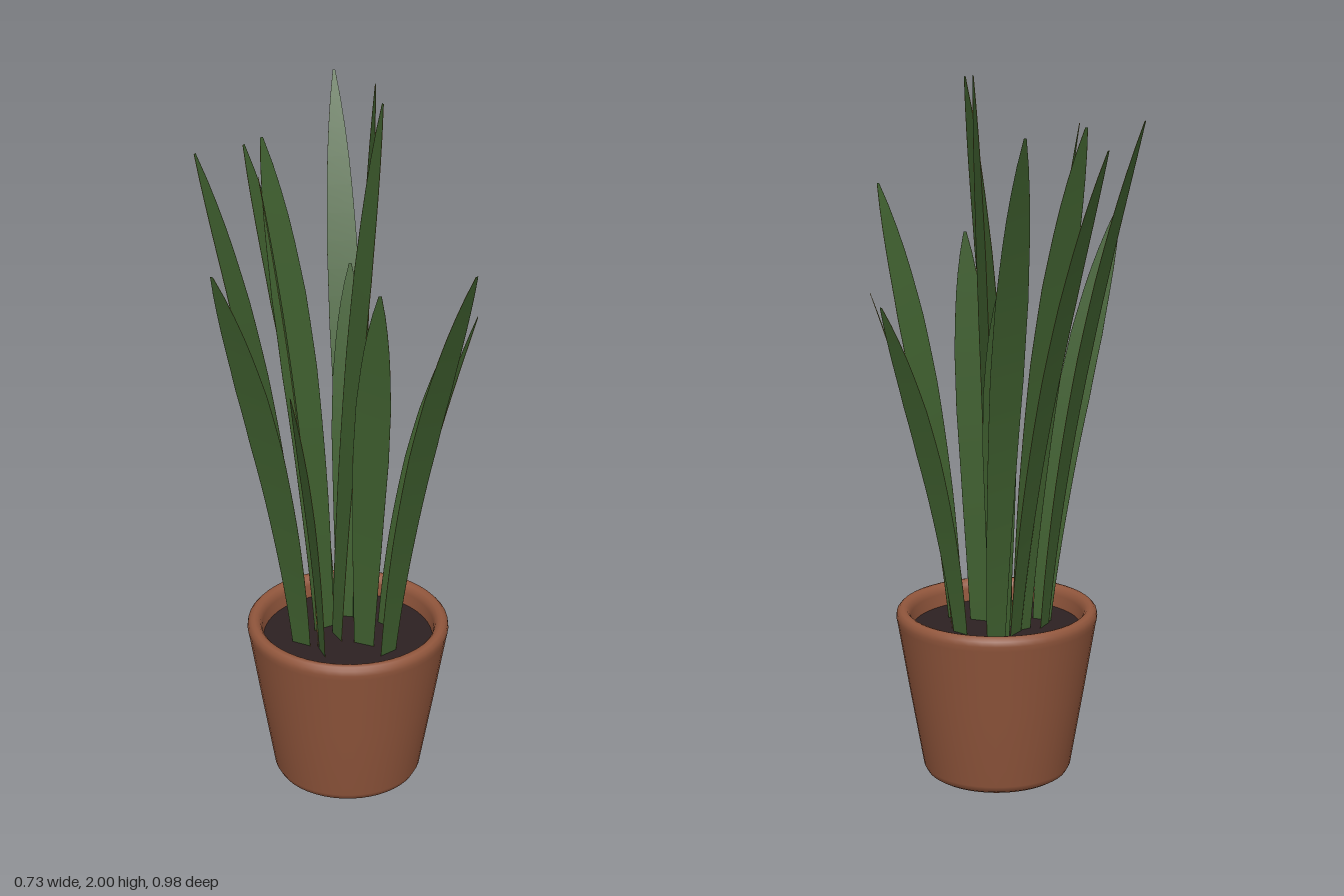
import * as THREE from 'three';

const mat = (name, color, side = THREE.FrontSide) => {
  const m = new THREE.MeshStandardMaterial({ color, side });
  m.name = name;
  return m;
};

// Ribbon surface between two rows of points
function ribbon(a, b) {
  const pos = [], idx = [];
  a.forEach((p, i) => {
    pos.push(...p.toArray(), ...b[i].toArray());
    if (i) {
      const k = i * 2;
      idx.push(k - 2, k - 1, k, k - 1, k + 1, k);
    }
  });
  const g = new THREE.BufferGeometry();
  g.setAttribute('position', new THREE.Float32BufferAttribute(pos, 3));
  g.setIndex(idx);
  g.computeVertexNormals();
  return g;
}

const SOIL_Y = 0.43;
// Half width of a blade from root to tip
const PROFILE = [[0, 0.029], [0.3, 0.043], [0.55, 0.052], [0.7, 0.05], [0.83, 0.039], [0.93, 0.023], [1, 0.004]];

function halfWidth(t) {
  const i = Math.max(1, PROFILE.findIndex(p => p[0] >= t));
  const [t0, w0] = PROFILE[i - 1], [t1, w1] = PROFILE[i];
  return w0 + (w1 - w0) * (t - t0) / (t1 - t0);
}

// One sword-shaped leaf: root (x, z), tip (x, y, z), direction of its width (x, z), size of its width
function makeLeaf([bx, bz], [tx, ty, tz], [wx, wz], size, green, margin) {
  const leaf = new THREE.Group();
  leaf.name = 'leaf';
  const side = new THREE.Vector3(wx, 0, wz).normalize();
  const normal = new THREE.Vector3(-side.z, 0, side.x).multiplyScalar(0.0006);
  const left = [], right = [], steps = 20;
  for (let i = 0; i <= steps; i++) {
    const t = i / steps, bend = 0.42 * t + 0.58 * t * t;
    const c = new THREE.Vector3(bx + (tx - bx) * bend, SOIL_Y - 0.01 + (ty - SOIL_Y + 0.01) * t, bz + (tz - bz) * bend);
    const w = halfWidth(t) * size;
    left.push(c.clone().addScaledVector(side, -w));
    right.push(c.clone().addScaledVector(side, w));
  }
  const blade = new THREE.Mesh(ribbon(left, right), green);
  blade.name = 'leafBlade';
  leaf.add(blade);
  // Hair-thin pale margins
  for (const edge of [left, right]) {
    const rim = new THREE.Mesh(ribbon(edge.map(p => p.clone().add(normal)), edge.map(p => p.clone().sub(normal))), margin);
    rim.name = 'leafMargin';
    leaf.add(rim);
  }
  return leaf;
}

export function createModel() {
  const model = new THREE.Group();
  model.name = 'pottedPlant';
  const terracotta = mat('terracotta', 0x91563c);
  const earth = mat('soil', 0x2d2122);
  const green = mat('leafGreen', 0x3e5e2e, THREE.DoubleSide);
  const margin = mat('leafMargin', 0x8a7030, THREE.DoubleSide);

  // Pot with drain recess, rounded foot and rolled rim
  const profile = [
    [0, 0.06], [0.075, 0.06], [0.088, 0.048], [0.096, 0.025], [0.108, 0.008], [0.128, 0],
    [0.17, 0], [0.187, 0.003], [0.2, 0.011], [0.209, 0.028],
    [0.247, 0.25], [0.28, 0.45], [0.283, 0.465], [0.281, 0.479], [0.273, 0.488], [0.264, 0.49],
    [0.254, 0.487], [0.246, 0.478], [0.242, 0.465], [0.236, 0.41],
  ].map(([x, y]) => new THREE.Vector2(x, y));
  const pot = new THREE.Mesh(new THREE.LatheGeometry(profile, 48), terracotta);
  pot.name = 'pot';
  pot.position.set(0.033, 0, 0.083);

  const soil = new THREE.Mesh(new THREE.CircleGeometry(0.24, 48).rotateX(-Math.PI / 2), earth);
  soil.name = 'soil';
  soil.position.set(0.033, SOIL_Y, 0.083);
  model.add(pot, soil);

  // Leaves: root, tip, width direction, width scale
  const leaves = [
    [[0.13, -0.085], [0.267, 1.89, -0.487], [0.94, 0.34], 0.85],
    [[-0.085, 0.02], [-0.318, 1.855, -0.112], [0.82, -0.57], 0.95],
    [[0.02, 0.0], [-0.118, 1.805, -0.25], [0.86, -0.5], 1],
    [[-0.01, 0.02], [-0.11, 1.855, -0.152], [1, -0.08], 1.05],
    [[-0.06, 0.08], [-0.222, 1.835, 0.07], [0.42, -0.91], 0.9],
    [[0.09, 0.22], [0.185, 1.645, 0.49], [0.97, -0.24], 0.95],
    [[-0.105, 0.07], [-0.365, 1.595, 0.09], [0.6, 0.8], 0.95],
    [[0.075, -0.01], [0.155, 1.45, -0.157], [0.8, 0.55], 0.9],
    [[0.05, 0.15], [0.035, 1.53, 0.255], [0.65, 0.75], 1],
    [[0.14, 0.15], [0.352, 1.395, 0.21], [-0.42, 0.91], 0.85],
    [[0.15, 0.08], [0.36, 1.37, 0.13], [0.35, 0.94], 0.85],
    [[-0.075, 0.14], [-0.185, 1.25, 0.175], [0.12, -0.99], 0.85],
    [[0.085, 0.02], [0.165, 1.995, -0.035], [-0.25, 0.97], 1.05],
    [[0.0, 0.08], [0.13, 1.98, 0.075], [0, 1], 1],
  ];
  const foliage = new THREE.Group();
  foliage.name = 'foliage';
  for (const [root, tip, width, size] of leaves) foliage.add(makeLeaf(root, tip, width, size, green, margin));
  model.add(foliage);
  return model;
}
